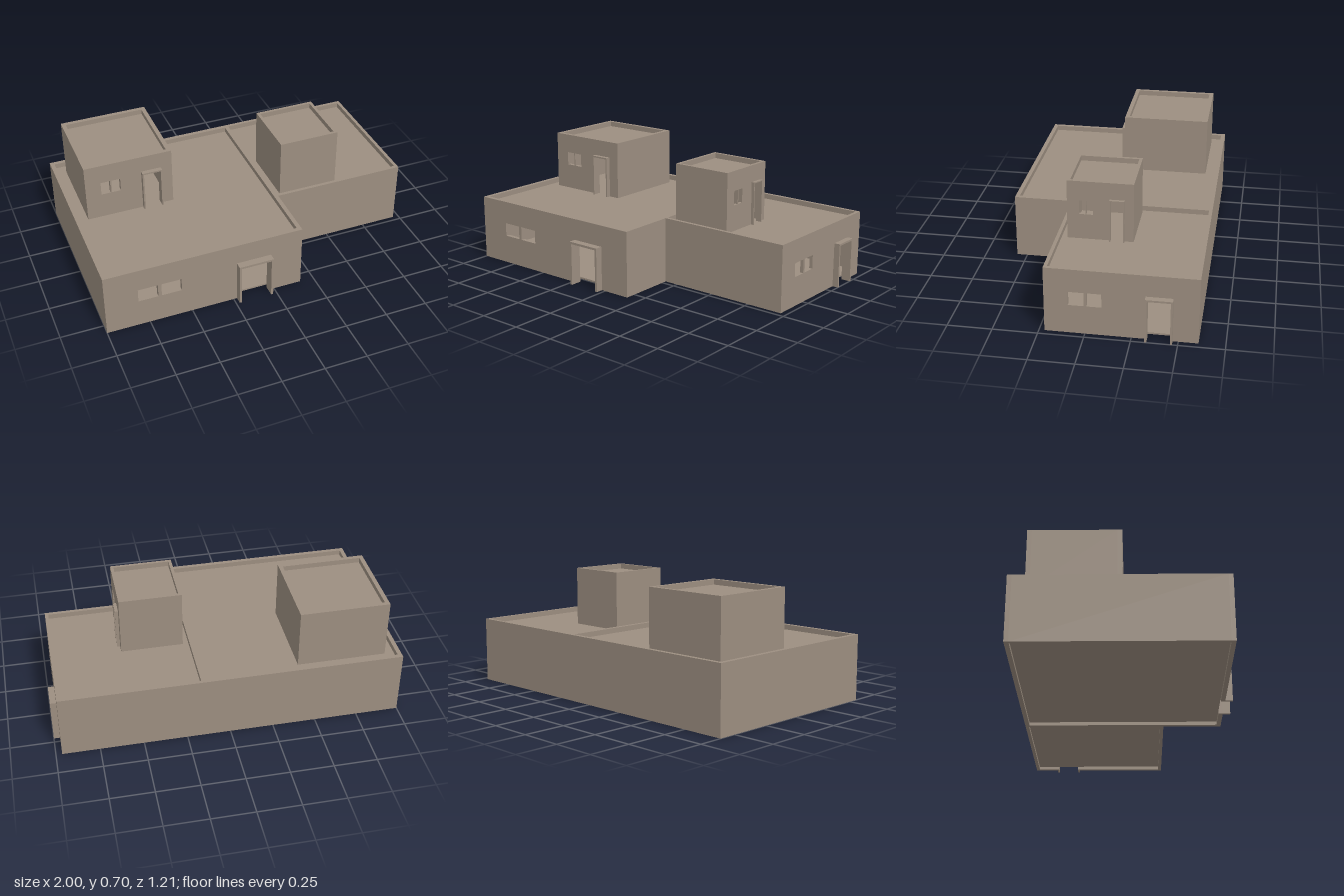
import * as THREE from 'three';

const material = new THREE.MeshStandardMaterial({ color: 0x9c8e80 });

function add(parent, geometry, name) {
  const mesh = new THREE.Mesh(geometry, material);
  mesh.name = name;
  parent.add(mesh);
  return mesh;
}

// Box given by its limits on each axis
function slab(parent, name, [x0, x1], [y0, y1], [z0, z1]) {
  add(parent, new THREE.BoxGeometry(x1 - x0, y1 - y0, z1 - z0), name)
    .position.set((x0 + x1) / 2, (y0 + y1) / 2, (z0 + z1) / 2);
}

const toShape = (points) => new THREE.Shape(points.map(([x, y]) => new THREE.Vector2(x, y)));

// Extruded panel whose back lies at "at"; facing +x its u axis runs along -z
function panel(parent, name, shape, at, depth, facesX) {
  const geometry = new THREE.ExtrudeGeometry(shape, { depth, bevelEnabled: false });
  geometry.translate(0, 0, at);
  if (facesX) geometry.rotateY(Math.PI / 2);
  add(parent, geometry, name);
}

// Wall with a door notch, window holes and a projecting door surround
function openWall(parent, name, { u, y, face, thick, facesX, door, windows }) {
  const rim = door.rim;
  const [d0, d1] = [door.u[0] + rim, door.u[1] - rim];
  const shape = toShape([
    [u[0], y[0]], [d0, y[0]], [d0, door.top - rim], [d1, door.top - rim],
    [d1, y[0]], [u[1], y[0]], [u[1], y[1]], [u[0], y[1]],
  ]);
  for (const [a, b] of windows.spans) {
    const [c, d] = windows.y;
    shape.holes.push(toShape([[a, c], [a, d], [b, d], [b, c]]));
  }
  panel(parent, name, shape, face - thick, thick, facesX);
  const surround = toShape([
    [door.u[0], y[0]], [d0, y[0]], [d0, door.top - rim], [d1, door.top - rim],
    [d1, y[0]], [door.u[1], y[0]], [door.u[1], door.top], [door.u[0], door.top],
  ]);
  panel(parent, 'doorSurround', surround, face, door.depth, facesX);
}

// Hollow room: walls rising past a sunken flat roof
function room(parent, name, { x, y, z, t, left = true, floor = false, facesX, door, windows }) {
  const group = new THREE.Group();
  group.name = name;
  parent.add(group);
  const xIn = [left ? x[0] + t : x[0], x[1] - t];
  const zIn = [z[0] + t, z[1] - t];
  slab(group, 'backWall', x, y, [z[0], zIn[0]]);
  if (left) slab(group, 'sideWall', [x[0], xIn[0]], y, zIn);
  if (facesX) {
    slab(group, 'frontWall', x, y, [zIn[1], z[1]]);
    openWall(group, 'entranceWall', { u: [-zIn[1], -zIn[0]], y, face: x[1], thick: t, facesX, door, windows });
  } else {
    slab(group, 'sideWall', [xIn[1], x[1]], y, zIn);
    openWall(group, 'entranceWall', { u: x, y, face: z[1], thick: t, facesX, door, windows });
  }
  slab(group, 'roof', xIn, [y[1] - 0.04, y[1] - 0.03], zIn);
  if (floor) slab(group, 'floor', xIn, [0.02, 0.03], zIn);
}

export function createModel() {
  const model = new THREE.Group();
  model.name = 'house';

  // Ground storey
  room(model, 'mainBlock', {
    x: [-1, 0.167], y: [0, 0.385], z: [-0.607, 0.562], t: 0.025, floor: true,
    door: { u: [-0.23, -0.023], top: 0.26, rim: 0.013, depth: 0.043 },
    windows: { y: [0.17, 0.25], spans: [[-0.81, -0.695], [-0.675, -0.558]] },
  });
  room(model, 'sideBlock', {
    x: [0.167, 0.965], y: [0, 0.385], z: [-0.607, 0.22], t: 0.02, left: false, floor: true, facesX: true,
    door: { u: [0.323, 0.47], top: 0.26, rim: 0.011, depth: 0.035 },
    windows: { y: [0.17, 0.25], spans: [[-0.09, -0.005], [0.01, 0.09]] },
  });

  // Roof rooms
  room(model, 'largeRoofRoom', {
    x: [-0.92, -0.405], y: [0.355, 0.703], z: [-0.522, -0.012], t: 0.025,
    door: { u: [-0.59, -0.472], top: 0.605, rim: 0.009, depth: 0.027 },
    windows: { y: [0.508, 0.588], spans: [[-0.83, -0.775], [-0.767, -0.715]] },
  });
  room(model, 'smallRoofRoom', {
    x: [0.2, 0.56], y: [0.355, 0.703], z: [-0.203, 0.167], t: 0.018, facesX: true,
    door: { u: [0.069, 0.153], top: 0.605, rim: 0.006, depth: 0.018 },
    windows: { y: [0.505, 0.588], spans: [[-0.1, -0.065], [-0.06, -0.022]] },
  });
  return model;
}
